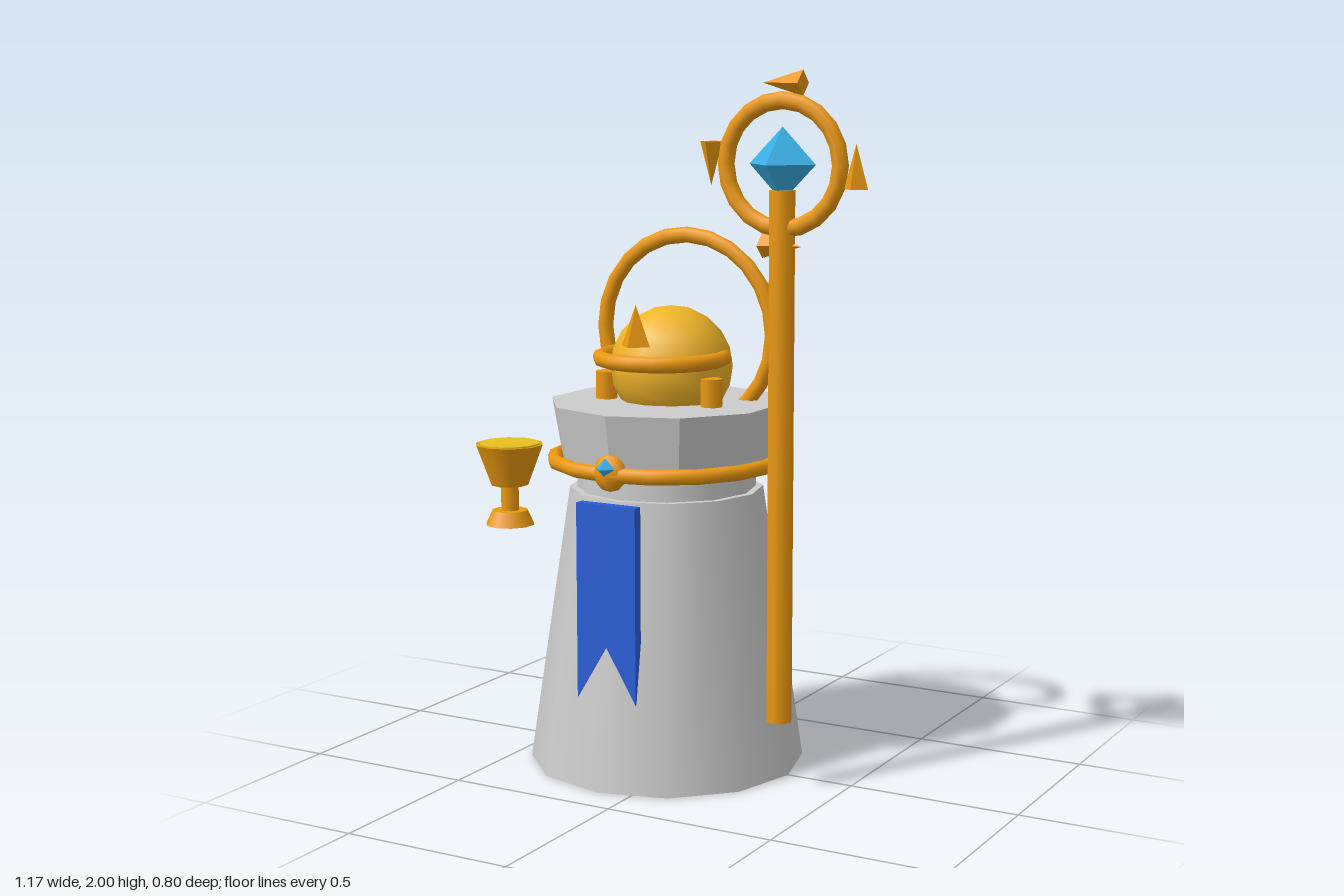
import * as THREE from 'three';

const paint = (color, flatShading = false) => new THREE.MeshStandardMaterial({ color, flatShading });

export function createModel() {
  const model = new THREE.Group();
  const stone = paint(0xcccccc), stoneFlat = paint(0xcccccc, true);
  const gold = paint(0xeb980f), goldFlat = paint(0xeb980f, true);
  const yellow = paint(0xf0b429), wine = paint(0xe8c020);
  const cloth = paint(0x2b5fd9, true), crystal = paint(0x3ab0e8, true);

  function add(parent, name, geometry, material, x = 0, y = 0, z = 0) {
    const mesh = new THREE.Mesh(geometry, material);
    mesh.name = name;
    mesh.position.set(x, y, z);
    parent.add(mesh);
    return mesh;
  }
  function group(name, x, y, z) {
    const g = new THREE.Group();
    g.name = name;
    g.position.set(x, y, z);
    model.add(g);
    return g;
  }
  // Cylinder or cone spanning y0 to y1
  function column(parent, name, rTop, rBottom, y0, y1, sides, material, x = 0, z = 0) {
    const geometry = new THREE.CylinderGeometry(rTop, rBottom, y1 - y0, sides);
    return add(parent, name, geometry, material, x, (y0 + y1) / 2, z);
  }
  const ring = (radius, tube, segments) => new THREE.TorusGeometry(radius, tube, 8, segments);

  // Tower: tapered body, neck and flared collar
  const tower = group('tower', -0.1, 0, 0);
  column(tower, 'body', 0.28, 0.4, 0, 0.81, 12, stone);
  column(tower, 'neck', 0.255, 0.26, 0.8, 0.92, 12, stone);
  column(tower, 'collar', 0.34, 0.308, 0.88, 1.06, 10, stoneFlat);

  // Belt with its clasp and gem
  add(tower, 'belt', ring(0.326, 0.022, 16), gold, 0, 0.893, 0).rotation.x = Math.PI / 2;
  add(tower, 'clasp', new THREE.SphereGeometry(0.053, 8, 6), gold, 0, 0.897, 0.315).scale.z = 0.65;
  add(tower, 'claspGem', new THREE.OctahedronGeometry(0.03), crystal, 0, 0.913, 0.34);

  // Swallow-tailed banner
  const outline = new THREE.Shape([[-0.095, 0.81], [-0.095, 0.25], [0, 0.405], [0.095, 0.25], [0.095, 0.81]]
    .map(([x, y]) => new THREE.Vector2(x, y)));
  add(tower, 'banner', new THREE.ExtrudeGeometry(outline, { depth: 0.03, bevelEnabled: false }), cloth, 0, 0, 0.312);

  // Orb on the tower, with circlet, spike, posts and halo
  add(tower, 'orb', new THREE.SphereGeometry(0.177, 12, 10), yellow, 0, 1.155, -0.03);
  add(tower, 'circlet', ring(0.178, 0.023, 16), gold, 0, 1.188, 0.025).rotation.x = Math.PI / 2;
  column(tower, 'circletSpike', 0, 0.046, 1.235, 1.352, 4, goldFlat, 0, 0.172);
  for (const side of [-1, 1]) column(tower, 'post', 0.032, 0.032, 1.05, 1.14, 8, gold, side * 0.173, 0.046);
  add(tower, 'halo', ring(0.279, 0.023, 24), gold, 0, 1.25, -0.123);

  // Staff with a crystal inside a spiked ring
  const staff = group('staff', 0.333, 0, 0.125);
  column(staff, 'staffShaft', 0.037, 0.037, 0.2, 1.68, 8, gold);
  add(staff, 'staffCrystal', new THREE.OctahedronGeometry(0.1), crystal, 0, 1.75, 0);
  add(staff, 'staffRing', ring(0.172, 0.024, 20), gold, 0, 1.748, 0);
  for (let i = 0; i < 4; i++) {
    const a = i * Math.PI / 2;
    const spike = add(staff, 'staffSpike', new THREE.ConeGeometry(0.035, 0.12, 4), goldFlat,
      0.218 * Math.cos(a), 1.748 + 0.218 * Math.sin(a), 0);
    spike.rotation.z = a;
  }

  // Goblet floating beside the tower
  const goblet = group('goblet', -0.492, 0, 0.23);
  column(goblet, 'gobletBase', 0.052, 0.072, 0.698, 0.74, 10, gold);
  column(goblet, 'gobletStem', 0.026, 0.026, 0.735, 0.825, 8, gold);
  column(goblet, 'gobletCup', 0.1, 0.055, 0.815, 0.934, 10, gold);
  column(goblet, 'gobletDrink', 0.09, 0.09, 0.928, 0.938, 10, wine);

  return model;
}
